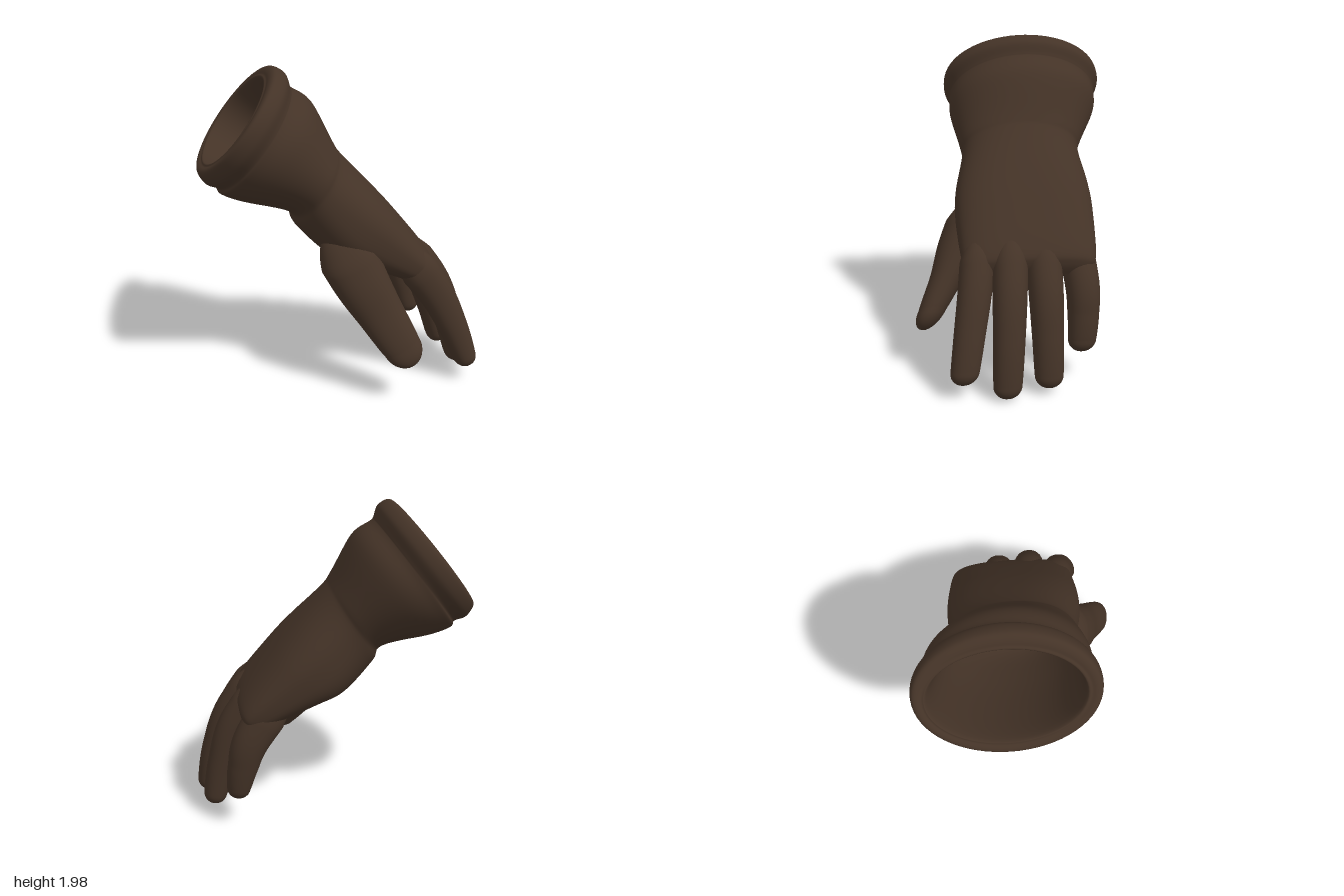
import * as THREE from 'three';

const { lerp, smoothstep } = THREE.MathUtils;
const leather = new THREE.MeshStandardMaterial({ color: 0x443327 });
leather.name = 'dark brown leather';

// Uniform Catmull-Rom through rows of numbers
function smoothRows(rows, steps) {
  const out = [];
  const last = rows.length - 1;
  for (let i = 0; i < last; i++) {
    const p0 = rows[Math.max(i - 1, 0)], p1 = rows[i], p2 = rows[i + 1], p3 = rows[Math.min(i + 2, last)];
    for (let s = 0; s < steps; s++) {
      const t = s / steps;
      out.push(p1.map((b, k) => {
        const a = p0[k], c = p2[k], d = p3[k];
        return b + 0.5 * t * (c - a + t * (2 * a - 5 * b + 4 * c - d + t * (3 * (b - c) + d - a)));
      }));
    }
  }
  out.push(rows[last]);
  return out;
}

// Skin over sections [topX, topY, bottomX, bottomY, backZ, frontZ];
// roundness gives the superellipse power at a section's centre x
function loft(name, sections, sides, roundness) {
  const pos = [], idx = [];
  const power = (v, e) => Math.sign(v) * Math.abs(v) ** e;
  sections.forEach(([tx, ty, bx, by, z0, z1], i) => {
    const e = roundness((tx + bx) / 2);
    for (let j = 0; j < sides; j++) {
      const a = (j / sides) * Math.PI * 2;
      const u = power(Math.cos(a), e) / 2, w = power(Math.sin(a), e) / 2;
      pos.push((tx + bx) / 2 + (tx - bx) * u, (ty + by) / 2 + (ty - by) * u, (z0 + z1) / 2 + (z1 - z0) * w);
      if (i === 0) continue;
      const k = (j + 1) % sides, p = (i - 1) * sides, q = i * sides;
      idx.push(p + j, p + k, q + j, p + k, q + k, q + j);
    }
  });
  const g = new THREE.BufferGeometry();
  g.setAttribute('position', new THREE.Float32BufferAttribute(pos, 3));
  g.setIndex(idx);
  g.computeVertexNormals();
  const mesh = new THREE.Mesh(g, leather);
  mesh.name = name;
  return mesh;
}

// Finger along points [x, y, z], tapering in profile radius (r0 to r1)
// and sideways radius (w0 to w1), with rounded ends
function finger(name, points, r0, r1, w0, w1) {
  const path = smoothRows(points, 10);
  const end = path.length - 1;
  const rows = [];
  const ring = (x, y, z, r, w, dx, dy) =>
    rows.push([x - dy * r, y + dx * r, x + dy * r, y - dx * r, z - w, z + w]);
  let dx, dy, dz;
  path.forEach(([x, y, z], i) => {
    const a = path[Math.max(i - 1, 0)], b = path[Math.min(i + 1, end)];
    const len = Math.hypot(b[0] - a[0], b[1] - a[1]);
    [dx, dy, dz] = b.map((v, k) => (v - a[k]) / len);
    const t = i / end;
    const swell = Math.sqrt(Math.min(1, t * 5 + 0.001));
    ring(x, y, z, lerp(r0, r1, t) * swell, lerp(w0, w1, t) * swell, dx, dy);
  });
  const [x, y, z] = path[end];
  for (let k = 1; k <= 8; k++) {
    const a = (k / 8) * Math.PI / 2, s = Math.sin(a) * r1, c = Math.max(Math.cos(a), 0.002);
    ring(x + dx * s, y + dy * s, z + dz * s, r1 * c, w1 * c, dx, dy);
  }
  return loft(name, rows, 28, () => 0.92);
}

export function createModel() {
  const glove = new THREE.Group();
  glove.name = 'glove';

  // One skin: hollow lining, rolled rim, flared cuff, wrist and palm
  const body = [
    [-0.02, 1.20, -0.03, 1.19, -0.06, -0.05],
    [0.01, 1.34, -0.16, 1.09, -0.27, 0.17],
    [-0.13, 1.60, -0.42, 1.20, -0.44, 0.29],
    [-0.42, 1.89, -0.78, 1.41, -0.55, 0.31],
    [-0.43, 1.95, -0.84, 1.41, -0.59, 0.35],
    [-0.38, 1.995, -0.87, 1.37, -0.64, 0.40],
    [-0.31, 1.96, -0.83, 1.30, -0.65, 0.41],
    [-0.285, 1.89, -0.76, 1.27, -0.615, 0.38],
    [-0.265, 1.865, -0.74, 1.23, -0.61, 0.38],
    [-0.15, 1.78, -0.61, 1.18, -0.585, 0.38],
    [-0.025, 1.53, -0.33, 1.11, -0.46, 0.335],
    [0.03, 1.45, -0.275, 1.01, -0.435, 0.325],
    [0.22, 1.25, -0.10, 0.84, -0.465, 0.38],
    [0.37, 1.08, 0.07, 0.77, -0.465, 0.39],
    [0.56, 0.84, 0.36, 0.66, -0.44, 0.37],
    [0.58, 0.75, 0.47, 0.63, -0.40, 0.34],
    [0.54, 0.66, 0.535, 0.655, -0.30, 0.25],
  ];
  glove.add(loft('cuffAndPalm', smoothRows(body, 6), 64, (x) => 1 - 0.25 * smoothstep(x, -0.3, 0.2)));

  // Four fingers bending down from the knuckles, each from knuckle to tip
  const fingers = {
    indexFinger: [[0.34, 0.90, 0.25], [0.56, 0.61, 0.30], [0.68, 0.37, 0.345], [0.755, 0.17, 0.38]],
    middleFinger: [[0.36, 0.92, 0.07], [0.61, 0.61, 0.10], [0.73, 0.33, 0.12], [0.79, 0.085, 0.135]],
    ringFinger: [[0.35, 0.91, -0.12], [0.59, 0.60, -0.115], [0.69, 0.34, -0.115], [0.745, 0.115, -0.115]],
    littleFinger: [[0.28, 0.91, -0.31], [0.50, 0.60, -0.35], [0.565, 0.41, -0.35], [0.595, 0.265, -0.34]],
  };
  for (const [name, points] of Object.entries(fingers)) {
    glove.add(finger(name, points, 0.135, 0.075, 0.113, 0.085));
  }

  // Broad thumb growing out of the palm side
  glove.add(finger('thumb', [[-0.07, 1.02, 0.20], [0.06, 0.74, 0.35], [0.165, 0.55, 0.44], [0.275, 0.36, 0.55]],
    0.20, 0.12, 0.17, 0.085));

  return glove;
}
